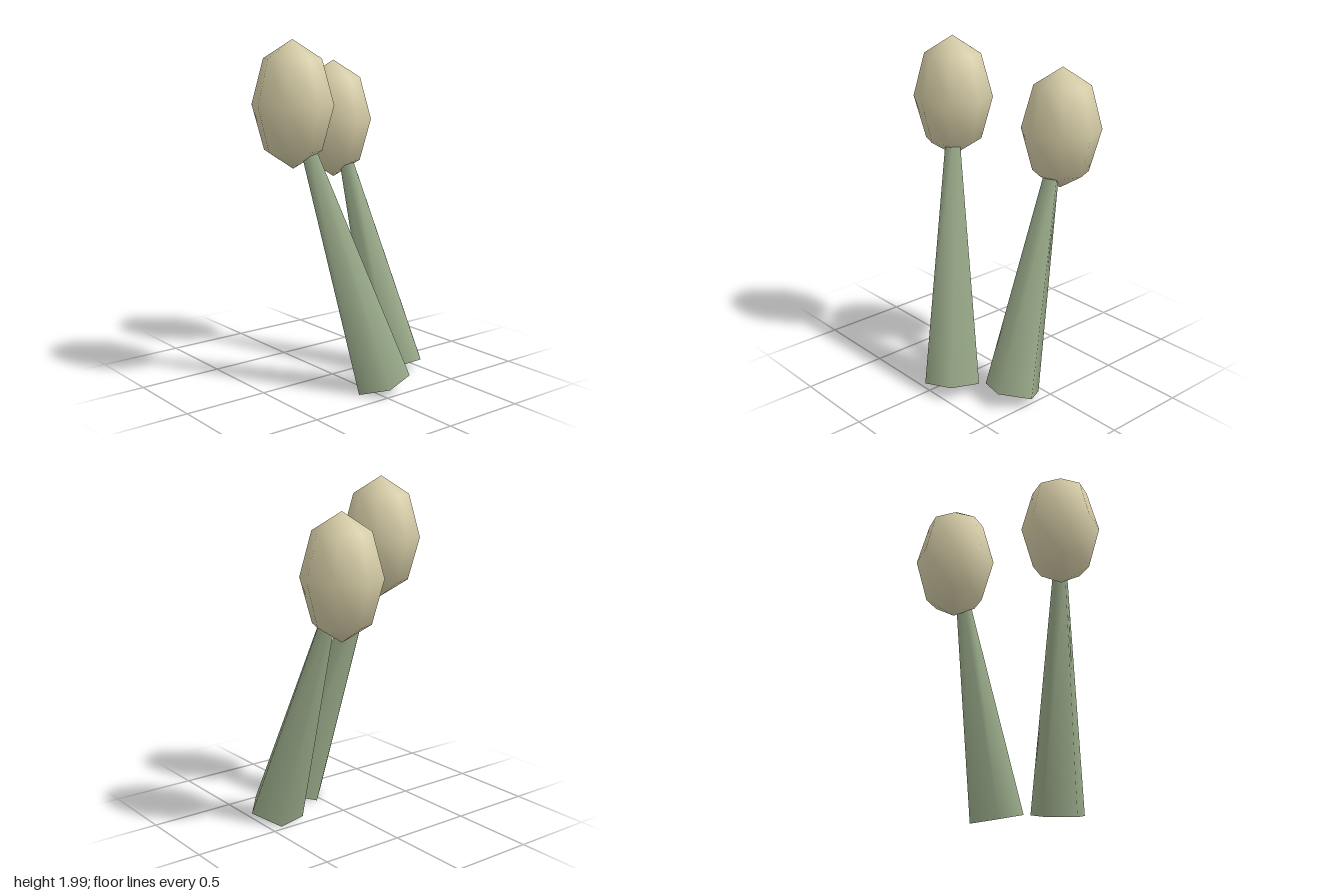
import * as THREE from 'three';

const stemGreen = new THREE.MeshStandardMaterial({ color: 0x98a988, side: THREE.DoubleSide });
stemGreen.name = 'stem green';
const budCream = new THREE.MeshStandardMaterial({ color: 0xd6cdA7 });
budCream.name = 'bud cream';

// Five-sided tapered stem running from its base centre to its top centre
function makeStem(base, top) {
  const a = new THREE.Vector3(...base);
  const b = new THREE.Vector3(...top);
  const geometry = new THREE.CylinderGeometry(0.047, 0.165, a.distanceTo(b), 5);
  geometry.rotateX(Math.PI / 2).rotateZ(Math.PI); // axis along z, one ridge on the upper side
  const stem = new THREE.Mesh(geometry, stemGreen);
  stem.name = 'stem';
  stem.position.copy(a).add(b).multiplyScalar(0.5);
  stem.lookAt(b);
  return stem;
}

// Upright egg-shaped bud with eight sides
function makeBud(center) {
  const bud = new THREE.Mesh(new THREE.SphereGeometry(1, 8, 4), budCream);
  bud.name = 'bud';
  bud.scale.set(0.23, 0.355, 0.23);
  bud.position.set(...center);
  return bud;
}

export function createModel() {
  const model = new THREE.Group();
  model.name = 'budding stalks';
  const stalks = [
    { name: 'tallStalk', base: [0.065, 0.052, 0.378], top: [-0.24, 1.365, 0.1], bud: [-0.307, 1.645, 0.037] },
    { name: 'shortStalk', base: [0.371, 0.053, 0.178], top: [0.272, 1.235, -0.195], bud: [0.243, 1.507, -0.3] },
  ];
  for (const { name, base, top, bud } of stalks) {
    const stalk = new THREE.Group();
    stalk.name = name;
    stalk.add(makeStem(base, top), makeBud(bud));
    model.add(stalk);
  }
  return model;
}
